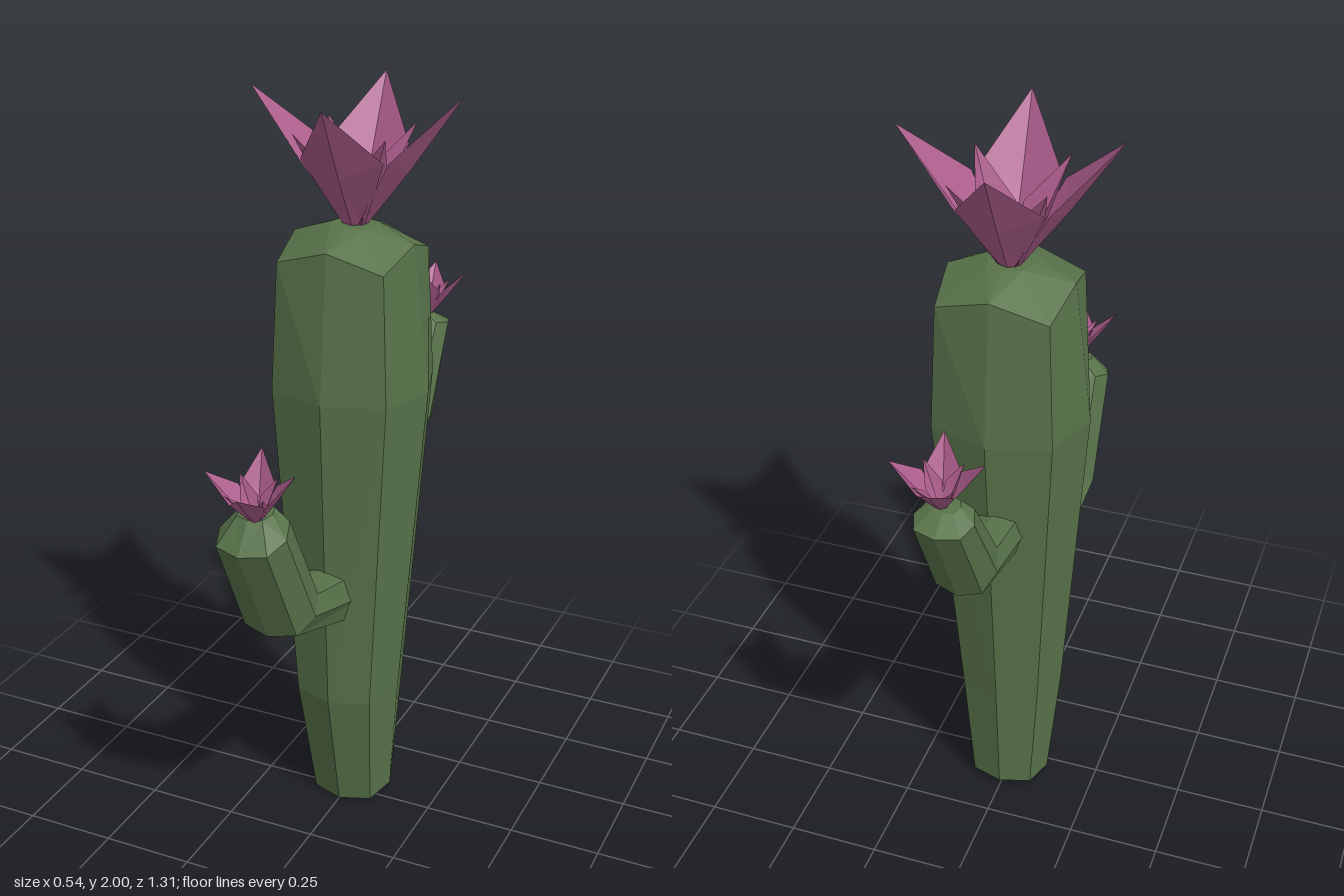
import * as THREE from 'three';

const green = new THREE.MeshStandardMaterial({ color: 0x58734a });
green.name = 'cactusGreen';
green.flatShading = true;
const pink = new THREE.MeshStandardMaterial({ color: 0xad5d8c, side: THREE.DoubleSide });
pink.name = 'petalPink';
pink.flatShading = true;

const V = (x, y, z) => new THREE.Vector3(x, y, z);

// Eight-sided, squarish cross-section spanned by two half-axes; corners may sit lower
function ring(center, e1, e2, corner = 0.75, drop = 0) {
  return Array.from({ length: 8 }, (_, i) => {
    const a = (i * Math.PI) / 4;
    const k = i % 2 ? corner * Math.SQRT2 : 1;
    const p = center.clone().addScaledVector(e1, Math.cos(a) * k).addScaledVector(e2, Math.sin(a) * k);
    if (i % 2) p.y -= drop;
    return p;
  });
}

function facets(triangles, material, name) {
  const geo = new THREE.BufferGeometry().setFromPoints(triangles);
  geo.computeVertexNormals();
  const mesh = new THREE.Mesh(geo, material);
  mesh.name = name;
  return mesh;
}

// Skin over a stack of rings, closed at both ends
function loft(rings, name) {
  const tris = [];
  const mid = (r) => r.reduce((s, p) => s.add(p), V(0, 0, 0)).divideScalar(r.length);
  const first = rings[0], last = rings[rings.length - 1];
  const c0 = mid(first), c1 = mid(last);
  for (let i = 0; i < 8; i++) {
    const j = (i + 1) % 8;
    for (let k = 0; k < rings.length - 1; k++) {
      const a = rings[k], b = rings[k + 1];
      // mirror the diagonals either side of each corner
      if (i % 2) tris.push(a[i], b[i], a[j], b[i], b[j], a[j]);
      else tris.push(a[i], b[i], b[j], a[i], b[j], a[j]);
    }
    tris.push(c0, first[i], first[j], c1, last[j], last[i]);
  }
  return facets(tris, green, name);
}

// Each arm section is given by its inner and outer side points as [z, y]
function arm(sections, side, halfWidths, name) {
  const rings = sections.map(([zi, yi, zo, yo], k) => ring(
    V(-0.013, (yi + yo) / 2, (zi + zo) / 2),
    V(side * halfWidths[k], 0, 0),
    V(0, (yo - yi) / 2, (zo - zi) / 2), 0.76));
  return loft(rings, name);
}

// Folded kite petal leaning out along +x
function petal(tipR, tipY, ridge, edge, halfWidth, name) {
  const base = V(0.025, 0, 0), tip = V(tipR, tipY, 0), fold = V(ridge[0], ridge[1], 0);
  const tris = [];
  for (const s of [-1, 1]) {
    const foot = V(0.01, 0, s * 0.025), wing = V(edge[0], edge[1], s * halfWidth);
    tris.push(base, fold, foot, foot, fold, wing, fold, tip, wing);
  }
  return facets(tris, pink, name);
}

// Four large petals with four small ones between them
function flower(name, position, scale, tilt, yaw) {
  const group = new THREE.Group();
  group.name = name;
  for (let i = 0; i < 4; i++) {
    const big = petal(0.272, 0.34, [0.14, 0.15], [0.115, 0.19], 0.105, 'outerPetal');
    big.rotation.y = (i * Math.PI) / 2 + yaw;
    const small = petal(0.17, 0.25, [0.09, 0.1], [0.07, 0.13], 0.055, 'innerPetal');
    small.rotation.y = ((i + 0.5) * Math.PI) / 2 + yaw * 0.5;
    group.add(big, small);
  }
  group.position.copy(position);
  group.scale.setScalar(scale);
  group.rotation.x = tilt;
  return group;
}

export function createModel() {
  const model = new THREE.Group();
  model.name = 'cactus';

  // Trunk sections: y, half width, half depth, centre z, corner drop
  const trunk = [
    [0.02, 0.112, 0.105, -0.045, 0],
    [0.36, 0.142, 0.152, -0.02, 0],
    [1.25, 0.21, 0.205, -0.035, 0],
    [1.635, 0.165, 0.165, -0.035, 0.045],
    [1.67, 0.06, 0.06, -0.035, 0],
  ].map(([y, hx, hz, cz, drop]) => ring(V(0, y, cz), V(hx, 0, 0), V(0, 0, hz), drop ? 0.88 : 0.76, drop));
  for (const p of trunk[0]) p.y += p.z > -0.04 ? -0.02 * (p.z + 0.04) / 0.1 : 0;
  model.add(loft(trunk, 'trunk'));

  // Arms with a bend and a bevelled end
  model.add(arm([
    [0.04, 0.745, 0.04, 0.575],
    [0.29, 0.81, 0.455, 0.735],
    [0.435, 1.075, 0.595, 1.02],
    [0.455, 1.105, 0.54, 1.095],
  ], 1, [0.075, 0.095, 0.09, 0.045], 'frontArm'));
  model.add(arm([
    [-0.1, 1.01, -0.1, 0.87],
    [-0.34, 1.06, -0.485, 0.98],
    [-0.485, 1.27, -0.615, 1.245],
    [-0.5, 1.29, -0.56, 1.28],
  ], -1, [0.065, 0.08, 0.075, 0.035], 'backArm'));

  // Blossoms
  model.add(flower('topFlower', V(0, 1.66, -0.045), 1, 0, 0.13));
  model.add(flower('frontArmFlower', V(0, 1.085, 0.52), 0.41, 0.2, 0.2));
  model.add(flower('backArmFlower', V(0, 1.275, -0.53), 0.41, -0.15, 0.2));
  return model;
}
